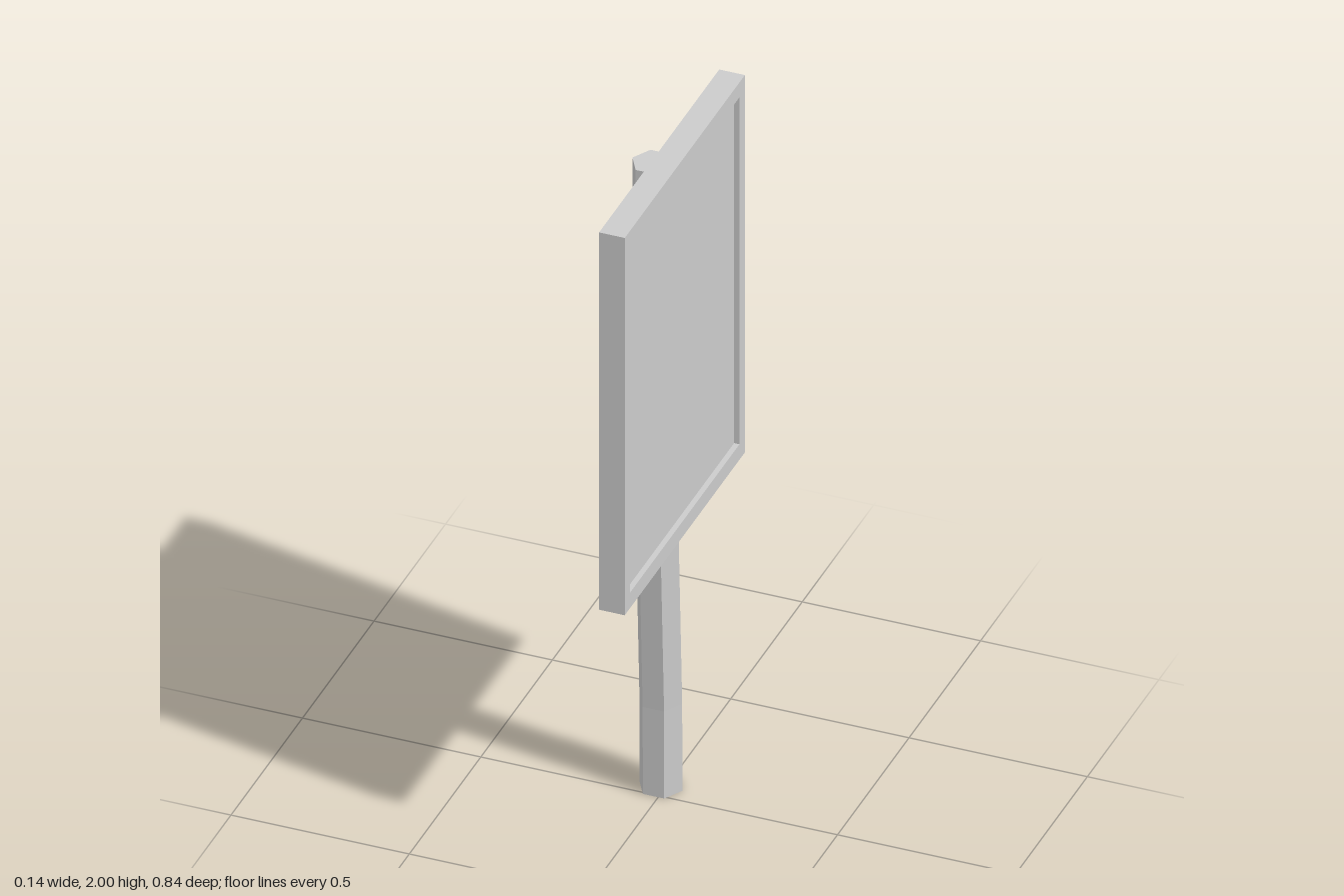
import * as THREE from 'three';

const material = new THREE.MeshStandardMaterial({ color: 0xcccccc, flatShading: true });

function addMesh(group, name, geometry) {
  const mesh = new THREE.Mesh(geometry, material);
  mesh.name = name;
  group.add(mesh);
  return mesh;
}

// Axis-aligned rectangle outline
function rectangle(path, halfWidth, bottom, top) {
  path.moveTo(-halfWidth, bottom);
  path.lineTo(halfWidth, bottom);
  path.lineTo(halfWidth, top);
  path.lineTo(-halfWidth, top);
  path.closePath();
  return path;
}

export function createModel() {
  const group = new THREE.Group();
  group.name = 'signOnPost';

  // Raised border of the board, facing +x
  const border = rectangle(new THREE.Shape(), 0.42, 0.83, 2);
  border.holes.push(rectangle(new THREE.Path(), 0.382, 0.878, 1.954));
  const frame = new THREE.ExtrudeGeometry(border, { depth: 0.072, bevelEnabled: false });
  frame.rotateY(Math.PI / 2);
  addMesh(group, 'boardFrame', frame);

  // Recessed panel, flush with the frame at the back
  const panel = new THREE.BoxGeometry(0.057, 1.076, 0.764);
  panel.translate(0.0285, 1.416, 0);
  addMesh(group, 'boardPanel', panel);

  // Six-sided post, gently bent along z: [height, z centre] of each ring
  const rings = [[0, -0.045], [0.27, -0.044], [0.83, -0.018], [1.3, 0], [1.965, 0.005]];
  const steps = rings.length - 1;
  const post = new THREE.CylinderGeometry(0.06, 0.06, 1, 6, steps, false, Math.PI / 2);
  const p = post.attributes.position;
  for (let i = 0; i < p.count; i++) {
    const [y, z] = rings[Math.round((p.getY(i) + 0.5) * steps)];
    p.setXYZ(i, p.getX(i) - 0.013, y, p.getZ(i) + z);
  }
  post.computeVertexNormals();
  addMesh(group, 'post', post);

  return group;
}
